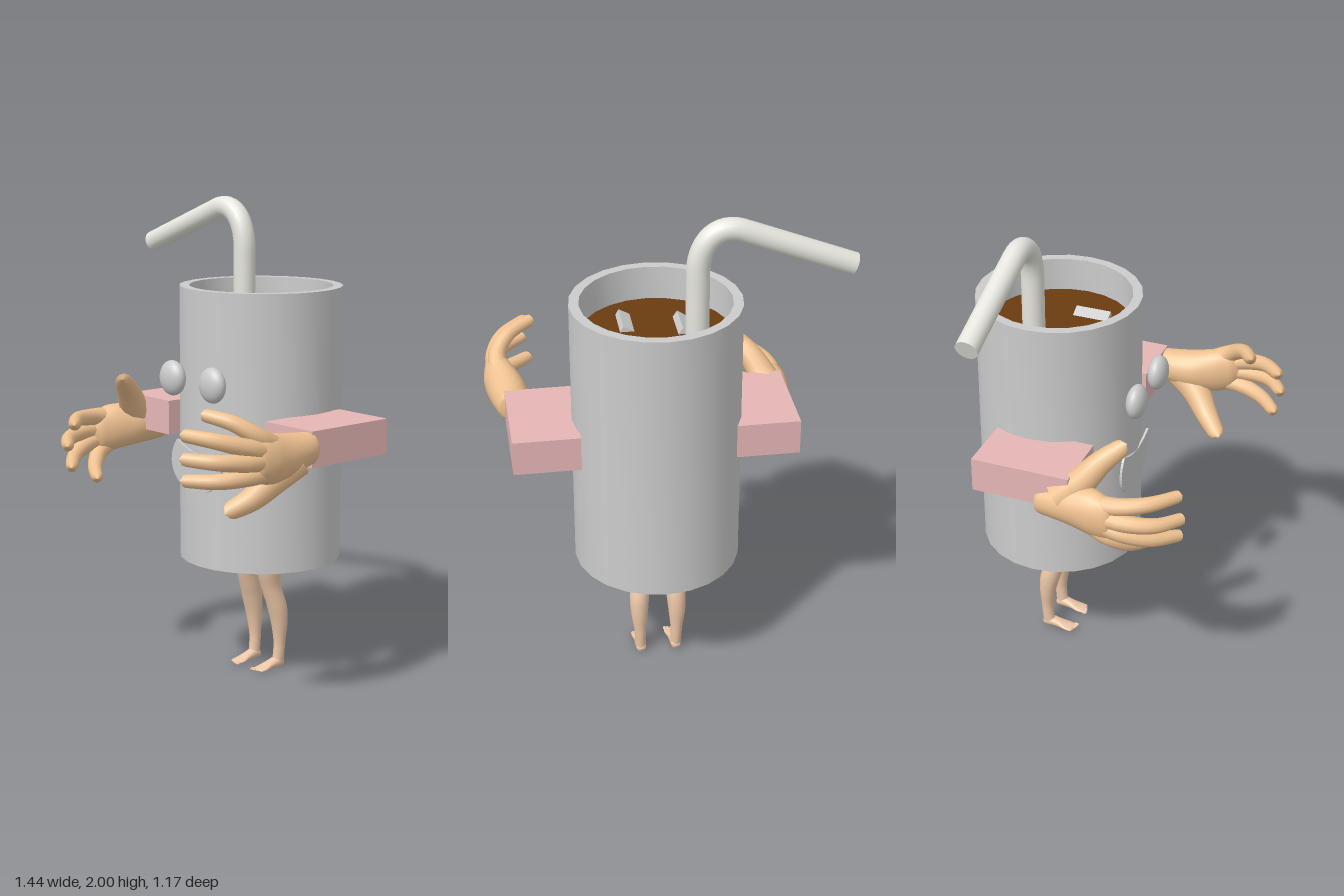
import * as THREE from 'three';
import { toCreasedNormals } from 'three/addons/utils/BufferGeometryUtils.js';

const V = (x, y, z) => new THREE.Vector3(x, y, z);
const X = V(1, 0, 0), Y = V(0, 1, 0), Z = V(0, 0, 1);
const paint = (color) => new THREE.MeshStandardMaterial({ color });
const GREY = paint(0xcccccc), STRAW = paint(0xe6e6de), COLA = paint(0x6b3c10);
const PINK = paint(0xe6b6b6), HAND = paint(0xf0c291), LEG = paint(0xecc7a8);

const CX = 0.06, CZ = -0.245, LIQUID_Y = 1.51;

function add(parent, name, geometry, material, x = 0, y = 0, z = 0) {
  const mesh = new THREE.Mesh(geometry, material);
  mesh.name = name;
  mesh.position.set(x, y, z);
  parent.add(mesh);
  return mesh;
}

// Smooth skin through elliptical sections [x, y, z, radiusU, radiusV]
function loft(sections, u, v, steps = 32, sides = 20) {
  const centres = new THREE.CatmullRomCurve3(sections.map((s) => V(s[0], s[1], s[2])));
  const radii = new THREE.CatmullRomCurve3(sections.map((s) => V(s[3], s[4], 0)));
  const pos = [], index = [];
  for (let i = 0; i <= steps; i++) {
    const c = centres.getPoint(i / steps), r = radii.getPoint(i / steps);
    for (let j = 0; j < sides; j++) {
      const a = (j / sides) * Math.PI * 2;
      const p = c.clone().addScaledVector(u, Math.cos(a) * r.x).addScaledVector(v, Math.sin(a) * r.y);
      pos.push(p.x, p.y, p.z);
      if (i < steps) {
        const k = (j + 1) % sides, n = i * sides;
        index.push(n + j, n + k, n + sides + j, n + k, n + sides + k, n + sides + j);
      }
    }
  }
  const g = new THREE.BufferGeometry();
  g.setAttribute('position', new THREE.Float32BufferAttribute(pos, 3));
  g.setIndex(index);
  g.computeVertexNormals();
  return g;
}

// Tapered tube with a rounded tip
function digit(points, r0, r1) {
  const curve = new THREE.CatmullRomCurve3(points.map((p) => V(...p)));
  const steps = 28, sides = 12, tip = r1 / curve.getLength();
  const g = new THREE.TubeGeometry(curve, steps, 1, sides);
  const p = g.attributes.position, q = V();
  for (let i = 0; i <= steps; i++) {
    const t = i / steps, c = curve.getPointAt(t);
    const e = Math.max(0, (t - 1 + tip) / tip);
    const r = (r0 + (r1 - r0) * t) * Math.sqrt(Math.max(0, 1 - e * e));
    for (let j = 0; j <= sides; j++) {
      const k = i * (sides + 1) + j;
      q.fromBufferAttribute(p, k).sub(c).multiplyScalar(r).add(c);
      p.setXYZ(k, q.x, q.y, q.z);
    }
  }
  return g;
}

function makeHand(name) {
  const hand = new THREE.Group();
  hand.name = name;
  add(hand, 'palm', loft([
    [0.62, 1.08, -0.01, 0.02, 0.02], [0.62, 1.08, 0.0, 0.055, 0.062], [0.62, 1.075, 0.07, 0.075, 0.075],
    [0.63, 1.07, 0.16, 0.08, 0.09], [0.65, 1.075, 0.25, 0.07, 0.1], [0.66, 1.085, 0.32, 0.048, 0.085],
    [0.655, 1.09, 0.36, 0.005, 0.01]], X, Y), HAND);
  const fingers = {
    littleFinger: [[0.655, 1.12, 0.22], [0.655, 1.17, 0.31], [0.6, 1.22, 0.38], [0.49, 1.25, 0.45]],
    ringFinger: [[0.665, 1.1, 0.24], [0.665, 1.135, 0.37], [0.62, 1.165, 0.47], [0.51, 1.19, 0.57]],
    middleFinger: [[0.665, 1.07, 0.24], [0.67, 1.08, 0.38], [0.63, 1.09, 0.49], [0.52, 1.1, 0.58]],
    indexFinger: [[0.655, 1.03, 0.22], [0.655, 1.02, 0.35], [0.61, 1.01, 0.46], [0.5, 1.01, 0.56]],
  };
  for (const [label, path] of Object.entries(fingers)) add(hand, label, digit(path, 0.042, 0.025), HAND);
  add(hand, 'thumb', digit([[0.63, 1.05, 0.09], [0.6, 0.98, 0.17], [0.55, 0.9, 0.24], [0.48, 0.84, 0.32]], 0.075, 0.034), HAND);
  return hand;
}

function makeLeg(name) {
  const leg = new THREE.Group();
  leg.name = name;
  add(leg, 'shin', loft([
    [-0.012, 0.52, -0.228, 0.053, 0.06], [-0.012, 0.44, -0.232, 0.048, 0.053], [-0.012, 0.36, -0.25, 0.04, 0.046],
    [-0.018, 0.28, -0.275, 0.041, 0.045], [-0.02, 0.2, -0.289, 0.036, 0.036], [-0.018, 0.11, -0.293, 0.025, 0.026],
    [-0.017, 0.06, -0.29, 0.023, 0.026], [-0.016, 0.02, -0.285, 0.022, 0.028]], X, Z), LEG);
  add(leg, 'foot', loft([
    [-0.015, 0.02, -0.316, 0.002, 0.002], [-0.015, 0.021, -0.308, 0.019, 0.018], [-0.015, 0.025, -0.28, 0.024, 0.024],
    [-0.013, 0.019, -0.24, 0.025, 0.018], [-0.012, 0.011, -0.2, 0.032, 0.01], [-0.012, 0.008, -0.175, 0.03, 0.007],
    [-0.012, 0.007, -0.168, 0.003, 0.003]], X, Y), LEG);
  for (let i = 0; i < 5; i++) {
    const r = 0.009 - i * 0.0008;
    add(leg, 'toe', new THREE.SphereGeometry(r, 10, 8), LEG, 0.014 - i * 0.013, 0.008, -0.168 - i * i * 0.001)
      .scale.set(0.85, 0.8, 1.4);
  }
  return leg;
}

export function createModel() {
  const model = new THREE.Group();

  // Cup with an open rim, and the drink inside
  const profile = [[0, 0.5], [0.34, 0.5], [0.34, 1.65], [0.3, 1.65], [0.3, 1.48]].map((p) => new THREE.Vector2(...p));
  add(model, 'cup', toCreasedNormals(new THREE.LatheGeometry(profile, 24), 0.7), GREY, CX, 0, CZ);
  add(model, 'drink', new THREE.CircleGeometry(0.302, 24).rotateX(-Math.PI / 2), COLA, CX, LIQUID_Y, CZ);

  // Tilted ice cubes that barely break the surface
  for (const [x, z, tilt] of [[-0.062, -0.195, 0.6], [0.155, -0.145, 0.5]]) {
    add(model, 'iceCube', new THREE.BoxGeometry(0.15, 0.15, 0.15), GREY, x, LIQUID_Y - 0.078, z).rotation.z = tilt;
  }

  // Bent straw
  const path = new THREE.CurvePath();
  path.add(new THREE.LineCurve3(V(-0.095, 1.3, -0.29), V(-0.095, 1.78, -0.29)));
  path.add(new THREE.CubicBezierCurve3(V(-0.095, 1.78, -0.29), V(-0.095, 1.92, -0.29), V(-0.18, 1.98, -0.29), V(-0.27, 1.943, -0.29)));
  path.add(new THREE.LineCurve3(V(-0.27, 1.943, -0.29), V(-0.705, 1.775, -0.29)));
  add(model, 'straw', new THREE.TubeGeometry(path, 60, 0.046, 18), STRAW);
  const end = add(model, 'strawEnd', new THREE.CircleGeometry(0.046, 18), STRAW, -0.705, 1.775, -0.29);
  end.quaternion.setFromUnitVectors(Z, V(-0.435, -0.168, 0).normalize());

  // Face: eyes and a thin smiling mouth
  for (const x of [-0.055, 0.195]) {
    add(model, 'eye', new THREE.SphereGeometry(1, 28, 20), GREY, x, 1.285, 0.137).scale.set(0.069, 0.073, 0.041);
  }
  const mouth = new THREE.Shape();
  mouth.moveTo(-0.08, 1.02);
  mouth.quadraticCurveTo(0.06, 0.94, 0.2, 1.0);
  mouth.bezierCurveTo(0.225, 0.93, 0.17, 0.81, 0.04, 0.81);
  mouth.bezierCurveTo(-0.09, 0.81, -0.16, 0.92, -0.08, 1.02);
  add(model, 'mouth', new THREE.ExtrudeGeometry(mouth, { depth: 0.01, bevelEnabled: false, curveSegments: 16 }), GREY, 0, 0, 0.086);

  // Block arms
  for (const [name, x] of [['leftArm', 0.513], ['rightArm', -0.363]]) {
    add(model, name, new THREE.BoxGeometry(0.27, 0.145, 0.415), PINK, x, 1.078, -0.19);
  }

  // Hands: the right one is the left one turned half round
  model.add(makeHand('leftHand'));
  const rightHand = makeHand('rightHand');
  rightHand.rotation.z = Math.PI;
  rightHand.position.set(0.165, 2.09, -0.125);
  model.add(rightHand);

  // Legs, mirrored about the cup's middle
  model.add(makeLeg('rightLeg'));
  const leftLeg = makeLeg('leftLeg');
  leftLeg.scale.x = -1;
  leftLeg.position.x = 2 * CX;
  model.add(leftLeg);

  return model;
}
